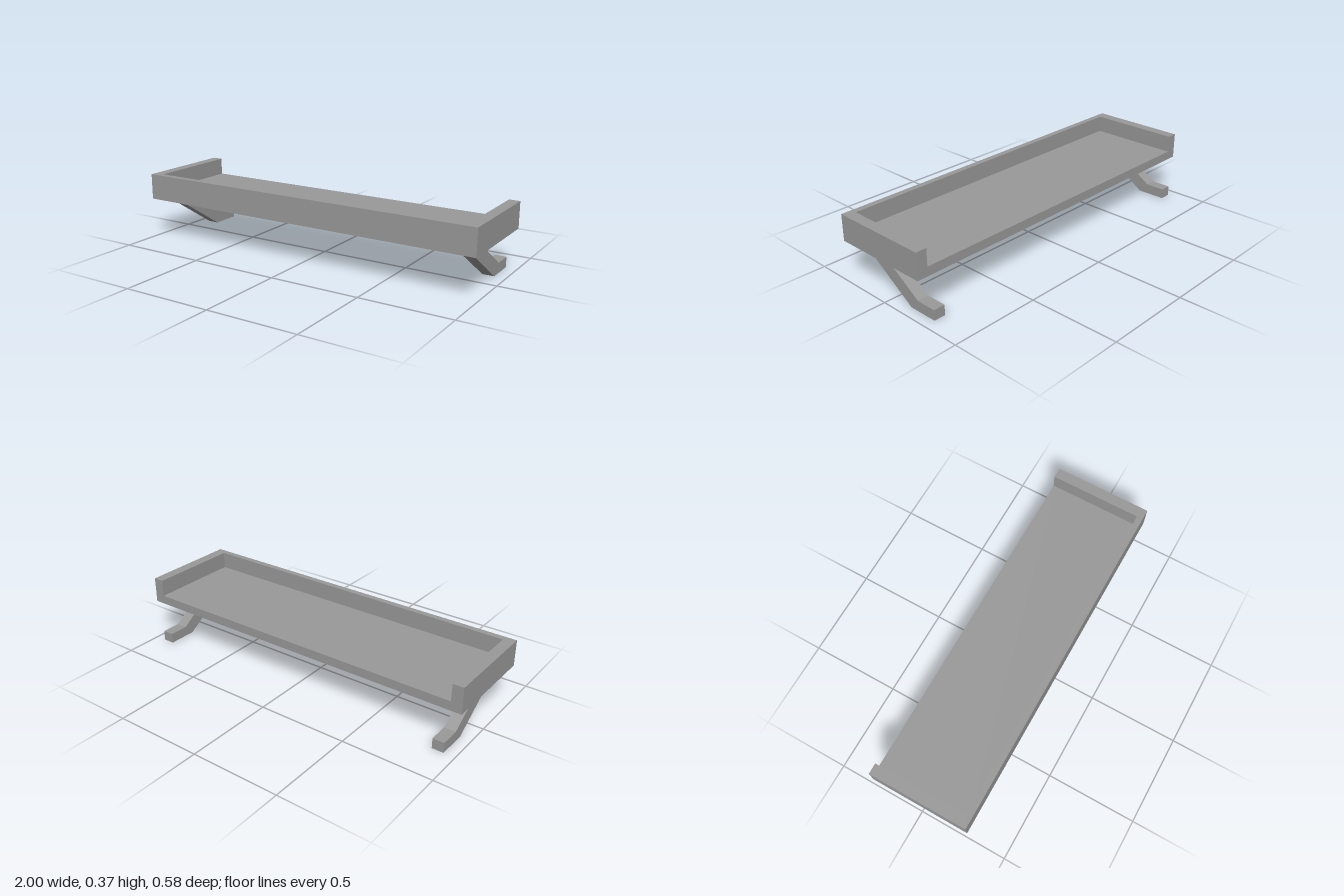
import * as THREE from 'three';

const shapeOf = (points) => new THREE.Shape(points.map(([a, b]) => new THREE.Vector2(a, b)));
const extrude = (points, depth) =>
  new THREE.ExtrudeGeometry(shapeOf(points), { depth, bevelEnabled: false });

export function createModel() {
  const grey = new THREE.MeshStandardMaterial({ color: 0x999999 });
  grey.name = 'grey';
  const model = new THREE.Group();
  model.name = 'shelfTray';

  const add = (name, geometry) => {
    const mesh = new THREE.Mesh(geometry, grey);
    mesh.name = name;
    model.add(mesh);
    return mesh;
  };

  const bottom = 0.227, floorTop = 0.277, top = 0.372;
  const front = 0.29, back = -0.265, innerX = 0.94, innerFront = 0.256;

  // Tray floor
  const floor = add('trayFloor', new THREE.BoxGeometry(2, floorTop - bottom, front - back));
  floor.position.set(0, (bottom + floorTop) / 2, (front + back) / 2);

  // Raised rim on the front and both ends, open at the back
  const rim = extrude([
    [-1, -front], [1, -front], [1, -back], [innerX, -back],
    [innerX, -innerFront], [-innerX, -innerFront], [-innerX, -back], [-1, -back],
  ], top - floorTop);
  rim.rotateX(-Math.PI / 2);
  add('trayRim', rim).position.y = floorTop;

  // Slanted legs with flat feet pointing back; profile is (z, y)
  const legWidth = 0.064;
  const leg = extrude([
    [0.222, bottom], [0.082, bottom], [-0.178, 0.057],
    [-0.29, 0.057], [-0.29, 0], [-0.125, 0],
  ], legWidth);
  leg.rotateY(-Math.PI / 2);
  leg.translate(legWidth / 2, 0, 0);
  for (const [name, side] of [['leftLeg', 1], ['rightLeg', -1]]) {
    add(name, leg).position.x = side * 0.906;
  }

  return model;
}
